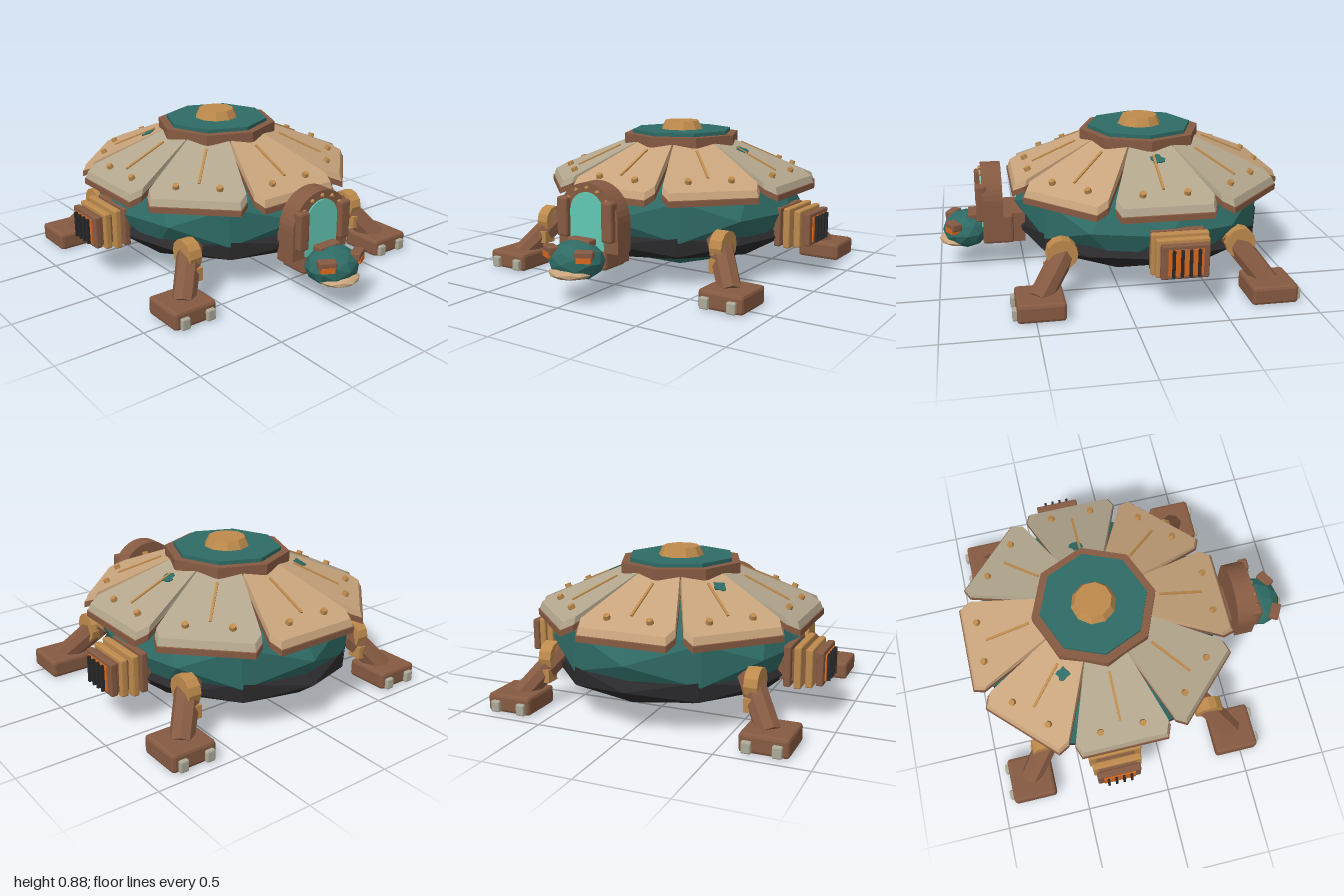
import * as THREE from 'three';
import { RoundedBoxGeometry } from 'three/addons/geometries/RoundedBoxGeometry.js';

const paint = (name, color) => {
  const m = new THREE.MeshStandardMaterial({ color });
  m.name = name;
  return m;
};

// Faceted normals for every part
function flat(g) {
  const f = g.index ? g.toNonIndexed() : g;
  f.computeVertexNormals();
  return f;
}

function add(parent, name, geo, mat, pos = [0, 0, 0], rot = [0, 0, 0]) {
  const mesh = new THREE.Mesh(flat(geo), mat);
  mesh.name = name;
  mesh.position.set(...pos);
  mesh.rotation.set(...rot);
  parent.add(mesh);
  return mesh;
}

const box = (w, h, d) => new THREE.BoxGeometry(w, h, d);
const chamferBox = (w, h, d, r = 0.015) => new RoundedBoxGeometry(w, h, d, 1, r);
const cyl = (top, bottom, h, n) => new THREE.CylinderGeometry(top, bottom, h, n);
const ball = (x, y, z, detail = 1) => new THREE.IcosahedronGeometry(1, detail).scale(x, y, z);

// Closed slab between two rings of matching corners
function slab(bottom, top) {
  const v = [], n = top.length;
  const tri = (a, b, c) => v.push(...a, ...b, ...c);
  for (let i = 0; i < n; i++) {
    const j = (i + 1) % n;
    tri(bottom[i], bottom[j], top[j]);
    tri(bottom[i], top[j], top[i]);
    if (i > 0 && i < n - 1) {
      tri(top[0], top[i], top[i + 1]);
      tri(bottom[0], bottom[i + 1], bottom[i]);
    }
  }
  const g = new THREE.BufferGeometry();
  g.setAttribute('position', new THREE.Float32BufferAttribute(v, 3));
  return g;
}

// Upright arch plate
function arch(w, y0, yc, depth) {
  const s = new THREE.Shape();
  s.moveTo(-w, y0);
  s.lineTo(w, y0);
  s.lineTo(w, yc);
  s.absarc(0, yc, w, 0, Math.PI, false);
  return new THREE.ExtrudeGeometry(s, { depth, bevelEnabled: false, curveSegments: 10 });
}

export function createModel() {
  const teal = paint('teal', 0x2f6b65), black = paint('black', 0x2a2a2c);
  const tan = paint('tan', 0xc8a47c), stone = paint('stone', 0xb3a68d);
  const copper = paint('copper', 0x865a42), gold = paint('gold', 0xbd8a4c);
  const glass = paint('glass', 0x62c8b4), orange = paint('orange', 0xd9691f);
  const claw = paint('claw', 0xadaa98);

  const model = new THREE.Group();
  model.name = 'turtleMachine';
  const midZ = -0.215;

  // Hull and dark belt
  add(model, 'hull', ball(0.74, 0.37, 0.76), teal, [0, 0.39, midZ]);
  add(model, 'belt', ball(0.72, 0.17, 0.765), black, [0, 0.25, midZ]);

  // Shell of eight sloping panels
  const slope = 0.44, tilt = Math.atan(slope);
  const roofY = r => 0.76 - slope * (r - 0.34);
  const outline = [[-0.12, 0.3], [-0.268, 0.7], [-0.243, 0.765], [0.243, 0.765], [0.268, 0.7], [0.12, 0.3]];
  const ring = (drop, grow) => outline.map(([x, r]) => {
    const rr = r > 0.5 ? r + grow : r;
    return [x + Math.sign(x) * grow * 0.5, roofY(r) - drop, rr];
  });
  const panelGeo = slab(ring(0.042, 0.015), ring(0, 0));
  const trimGeo = slab(ring(0.075, 0.02), ring(0.042, 0.02));
  for (let i = 0; i < 8; i++) {
    const p = new THREE.Group();
    p.name = 'shellPanel' + i;
    p.position.z = midZ;
    p.rotation.y = i * Math.PI / 4;
    model.add(p);
    add(p, 'plate', panelGeo, i % 4 < 2 ? tan : stone);
    add(p, 'plateTrim', trimGeo, copper);
    add(p, 'rib', box(0.014, 0.016, 0.285), gold, [0, roofY(0.515), 0.515], [tilt, 0, 0]);
    for (const x of [-0.122, 0.122])
      add(p, 'rivet', cyl(0.018, 0.021, 0.034, 8), gold, [x, roofY(0.683) + 0.006, 0.683], [tilt, 0, 0]);
    // Patches of paint
    if (i === 2 || i === 5) {
      const s = new THREE.Shape();
      for (let k = 0; k < 12; k++) {
        const a = k * Math.PI / 6, r = 0.037 + 0.009 * Math.sin(k * 2.3 + i);
        s[k ? 'lineTo' : 'moveTo'](r * Math.cos(a), r * Math.sin(a));
      }
      const patch = new THREE.ExtrudeGeometry(s, { depth: 0.006, bevelEnabled: false });
      add(p, 'paintPatch', patch, teal, [i === 5 ? 0.057 : 0.017, roofY(0.417), 0.417], [tilt - Math.PI / 2, 0, 0]);
    }
  }

  // Crown on top of the shell
  add(model, 'crownRim', cyl(0.36, 0.36, 0.06, 8), copper, [0, 0.785, midZ]);
  add(model, 'crownDisc', cyl(0.31, 0.31, 0.025, 8), teal, [0, 0.824, midZ]);
  add(model, 'crownCap', cyl(0.105, 0.132, 0.055, 10), gold, [0, 0.86, midZ]);

  // Side vents
  for (const s of [-1, 1]) {
    const v = new THREE.Group();
    v.name = s > 0 ? 'leftVent' : 'rightVent';
    v.position.set(0, 0.31, -0.28);
    model.add(v);
    add(v, 'ventCore', box(0.29, 0.17, 0.23), copper, [s * 0.745, 0, 0]);
    [[0.705, 0.23, 0.3, copper], [0.765, 0.235, 0.315, gold], [0.825, 0.215, 0.29, gold], [0.88, 0.19, 0.26, copper]]
      .forEach(([x, h, d, m]) => add(v, 'ventPlate', chamferBox(0.04, h, d, 0.008), m, [s * x, 0, 0]));
    add(v, 'ventGlow', box(0.008, 0.145, 0.19), orange, [s * 0.904, 0, 0]);
    for (let k = 0; k < 4; k++)
      add(v, 'ventBar', box(0.018, 0.15, 0.014), black, [s * 0.917, 0, -0.069 + k * 0.046]);
  }

  // Four splayed legs
  const hip = new THREE.Vector3(0.56, 0.31, 0.46), ankle = new THREE.Vector3(0.73, 0.08, 0.635);
  const axis = ankle.clone().sub(hip);
  const turn = new THREE.Quaternion().setFromUnitVectors(new THREE.Vector3(0, -1, 0), axis.clone().normalize());
  const limb = cyl(0.07, 0.066, axis.length(), 8).applyQuaternion(turn);
  const limbMid = hip.clone().add(ankle).multiplyScalar(0.5);
  for (const front of [true, false]) for (const s of [-1, 1]) {
    const leg = new THREE.Group();
    leg.name = (front ? 'front' : 'back') + (s > 0 ? 'Left' : 'Right') + 'Leg';
    leg.position.z = -0.165;
    // A half turn carries the left front leg to the right back
    leg.rotation.y = front ? 0 : Math.PI;
    model.add(leg);
    const shin = limb.clone();
    if (s < 0) shin.rotateY(-2 * Math.atan2(axis.x, axis.z));
    add(leg, 'shin', shin, copper, [s * limbMid.x, limbMid.y, limbMid.z]);
    add(leg, 'hipDisc', cyl(0.087, 0.087, 0.075, 12), gold, [s * 0.607, 0.285, 0.5], [0, 0, Math.PI / 2]);
    add(leg, 'kneeBracket', box(0.06, 0.075, 0.085), gold, [s * 0.605, 0.19, 0.555]);
    add(leg, 'foot', chamferBox(0.265, 0.105, 0.26, 0.018), copper, [s * 0.738, 0.06, 0.635]);
    for (const x of [-0.085, 0.075])
      add(leg, 'toe', chamferBox(0.052, 0.065, 0.04, 0.008), claw, [s * (0.738 + x), 0.046, 0.768]);
  }

  // Arched hatch behind the head
  add(model, 'neck', box(0.19, 0.18, 0.24), copper, [0, 0.25, 0.61]);
  add(model, 'neckBase', chamferBox(0.24, 0.18, 0.18), copper, [0, 0.25, 0.65]);
  add(model, 'hatchFrame', arch(0.2, 0.26, 0.43, 0.115), copper, [0, 0, 0.622]);
  add(model, 'hatchGlass', arch(0.113, 0.27, 0.467, 0.009), glass, [0, 0, 0.736]);
  for (const s of [-1, 1])
    add(model, 'hatchPad', chamferBox(0.07, 0.22, 0.06, 0.012), copper, [s * 0.15, 0.435, 0.745]);
  for (let k = 0; k < 5; k++) {
    const a = Math.PI * (0.2 + 0.15 * k);
    add(model, 'hatchRivet', ball(0.013, 0.013, 0.013, 0), gold, [0.158 * Math.cos(a), 0.445 + 0.158 * Math.sin(a), 0.74]);
  }

  // Head
  const head = new THREE.Group();
  head.name = 'head';
  model.add(head);
  add(head, 'skull', ball(0.16, 0.108, 0.14), teal, [0, 0.23, 0.835]);
  add(head, 'beak', ball(0.128, 0.036, 0.122), tan, [0, 0.175, 0.877]);
  add(head, 'crest', chamferBox(0.15, 0.035, 0.065, 0.008), copper, [0, 0.322, 0.79]);
  for (const s of [-1, 1]) {
    const eye = new THREE.Group();
    eye.name = s > 0 ? 'leftEye' : 'rightEye';
    eye.position.set(s * 0.112, 0.28, 0.91);
    eye.rotation.y = s * 0.5;
    head.add(eye);
    add(eye, 'brow', chamferBox(0.1, 0.045, 0.06, 0.008), copper, [0, 0.008, 0]);
    add(eye, 'eyeSlot', box(0.078, 0.03, 0.05), orange, [0, -0.016, 0.008]);
  }
  return model;
}
